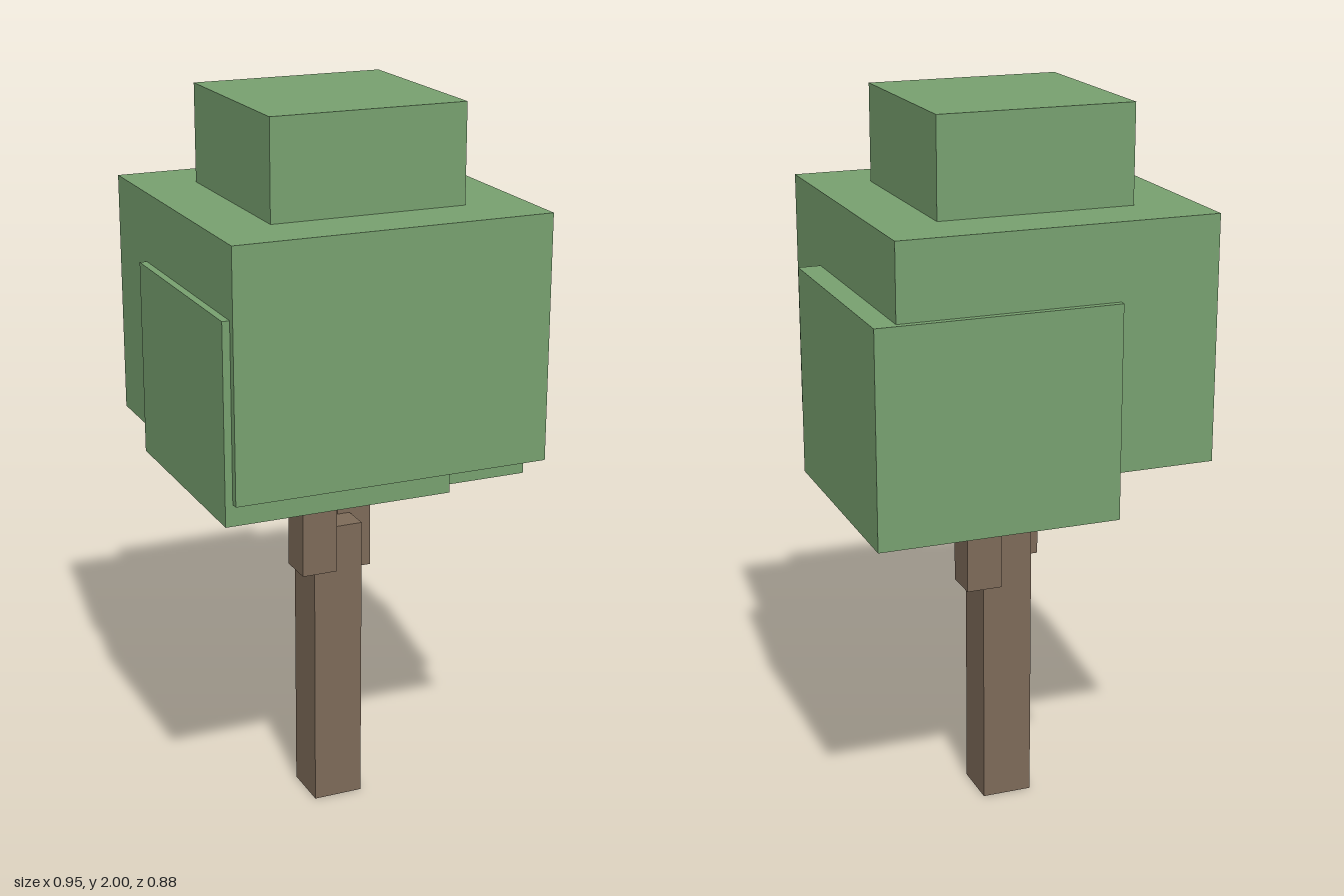
import * as THREE from 'three';

export function createModel() {
  const tree = new THREE.Group();
  tree.name = 'blockTree';

  const bark = new THREE.MeshStandardMaterial({ color: 0x7d6a58 });
  bark.name = 'bark brown';
  const leaf = new THREE.MeshStandardMaterial({ color: 0x77a06f });
  leaf.name = 'leaf green';

  // Adds a box spanning the given [min, max] ranges
  function block(name, material, [x0, x1], [y0, y1], [z0, z1]) {
    const mesh = new THREE.Mesh(new THREE.BoxGeometry(x1 - x0, y1 - y0, z1 - z0), material);
    mesh.position.set((x0 + x1) / 2, (y0 + y1) / 2, (z0 + z1) / 2);
    mesh.name = name;
    tree.add(mesh);
  }

  // Trunk and the two branches reaching up into the leaves
  block('trunk', bark, [-0.094, 0.047], [0, 0.826], [-0.058, 0.084]);
  block('rightBranch', bark, [-0.137, -0.037], [0.703, 1.15], [0.002, 0.105]);
  block('leftBranch', bark, [0.01, 0.11], [0.66, 1.1], [-0.1, 0.001]);

  // Overlapping leaf masses
  block('mainFoliage', leaf, [-0.455, 0.41], [1.075, 1.735], [-0.424, 0.442]);
  block('rightFoliage', leaf, [-0.475, 0.143], [1.017, 1.547], [-0.198, 0.421]);
  block('leftFoliage', leaf, [-0.185, 0.472], [0.953, 1.53], [-0.442, 0.215]);
  block('topFoliage', leaf, [-0.29, 0.245], [1.7, 2], [-0.259, 0.277]);

  return tree;
}
